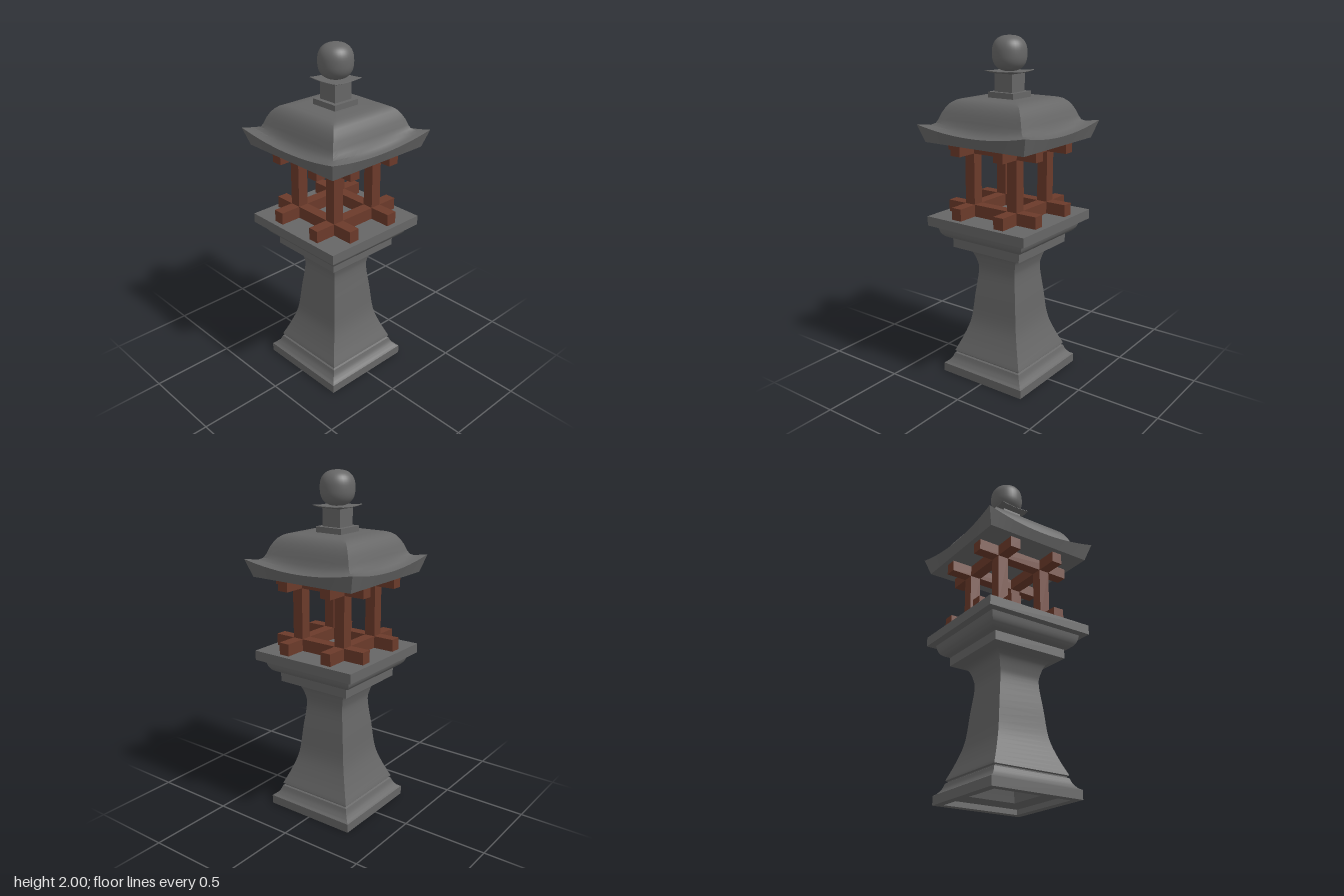
import * as THREE from 'three';
import { toCreasedNormals } from 'three/addons/utils/BufferGeometryUtils.js';

const stone = new THREE.MeshStandardMaterial({ color: 0x666666, side: THREE.DoubleSide });
const wood = new THREE.MeshStandardMaterial({ color: 0x6b3a2a });

// Square loft: each ring is [halfWidth, y, cornerLift, cornerFlare]
function squareLoft(rings, segments = 1, crease = 0.6) {
  const pos = [], index = [];
  for (let side = 0; side < 4; side++) {
    const c = [1, 0, -1, 0][side], s = [0, 1, 0, -1][side];
    const start = pos.length / 3;
    for (const [w, y, lift = 0, flare = 0] of rings) {
      for (let i = 0; i <= segments; i++) {
        const t = (2 * i) / segments - 1;
        const x = t * (w + flare), z = w + flare * t * t;
        pos.push(x * c + z * s, y + lift * t * t, z * c - x * s);
      }
    }
    for (let r = 0; r < rings.length - 1; r++) {
      for (let i = 0; i < segments; i++) {
        const a = start + r * (segments + 1) + i, d = a + segments + 1;
        index.push(a, a + 1, d + 1, a, d + 1, d);
      }
    }
  }
  const g = new THREE.BufferGeometry();
  g.setAttribute('position', new THREE.Float32BufferAttribute(pos, 3));
  g.setIndex(index);
  return toCreasedNormals(g, crease);
}

// Smooth run of rings through a few points
function smooth(points, n) {
  const curve = new THREE.SplineCurve(points.map(([w, y]) => new THREE.Vector2(w, y)));
  return curve.getPoints(n).map((p) => [p.x, p.y]);
}

export function createModel() {
  const model = new THREE.Group();
  const add = (name, geometry, material, parent = model) => {
    const mesh = new THREE.Mesh(geometry, material);
    mesh.name = name;
    parent.add(mesh);
    return mesh;
  };

  // Stepped foot, hollowed underneath
  add('foot', squareLoft([
    [0.001, 0.3], [0.1, 0.27], [0.15, 0.16], [0.185, 0.05], [0.24, 0.03], [0.24, 0], [0.285, 0], [0.285, 0.052],
    ...smooth([[0.27, 0.06], [0.25, 0.085], [0.238, 0.115]], 6), [0.228, 0.12], [0.228, 0.13],
  ]), stone);

  // Waisted column
  add('column', squareLoft([
    [0.228, 0.125], [0.237, 0.13],
    ...smooth([[0.235, 0.137], [0.197, 0.23], [0.164, 0.34], [0.146, 0.5], [0.13, 0.64],
      [0.135, 0.7], [0.16, 0.765], [0.21, 0.79]], 28),
    [0.235, 0.797],
  ]), stone);

  // Collar, bowl moulding and platform slab
  add('platform', squareLoft([
    [0.2, 0.797], [0.235, 0.797], [0.235, 0.85],
    ...smooth([[0.24, 0.852], [0.268, 0.866], [0.287, 0.892], [0.297, 0.932]], 10),
    [0.337, 0.934], [0.337, 0.99], [0.001, 0.99],
  ]), stone);

  // Timber frame: crossing beams below and above, four posts between
  const frame = new THREE.Group();
  frame.name = 'timberFrame';
  model.add(frame);
  const inset = 0.147, thick = 0.065;
  for (const y of [1.025, 1.39]) {
    const h = y < 1.2 ? 0.07 : 0.065;
    for (const s of [-1, 1]) {
      add('beamAcross', new THREE.BoxGeometry(0.61, h, thick), wood, frame).position.set(0, y, s * inset);
      add('beamDeep', new THREE.BoxGeometry(thick, h, 0.61), wood, frame).position.set(s * inset, y, 0);
    }
  }
  for (const x of [-inset, inset]) {
    for (const z of [-inset, inset]) {
      add('post', new THREE.BoxGeometry(thick, 0.32, thick), wood, frame).position.set(x, 1.21, z);
    }
  }

  // Domed roof with upswept eaves
  add('roof', squareLoft([
    [0.001, 1.422], [0.335, 1.422], [0.357, 1.48, 0.042, 0.01],
    [0.335, 1.484, 0.037, 0.007], [0.31, 1.496, 0.022, 0.003], [0.293, 1.52, 0.008], [0.281, 1.55],
    [0.268, 1.585], [0.252, 1.615], [0.235, 1.637], [0.215, 1.652], [0.195, 1.66], [0.15, 1.662], [0.001, 1.664],
  ], 16), stone);

  // Finial: plinth, neck, thin flared plate and rounded knob
  add('finialPlinth', squareLoft([[0.086, 1.655], [0.086, 1.695], [0.001, 1.695]]), stone);
  add('finialNeck', squareLoft([[0.06, 1.69], [0.06, 1.805], [0.001, 1.805]]), stone);
  add('finialPlate', squareLoft([
    [0.06, 1.795], [0.08, 1.799, 0.002], [0.096, 1.805, 0.006, 0.002], [0.095, 1.808, 0.006, 0.002], [0.001, 1.808],
  ], 8), stone);
  const knob = [];
  for (let i = 0; i <= 24; i++) {
    const a = (i / 24 - 0.5) * Math.PI, p = 0.8;
    const s = Math.sin(a);
    knob.push(new THREE.Vector2(0.098 * Math.pow(Math.max(Math.cos(a), 0), p),
      1.903 + 0.097 * Math.sign(s) * Math.pow(Math.abs(s), p)));
  }
  add('finialKnob', new THREE.LatheGeometry(knob, 32), stone);

  return model;
}
